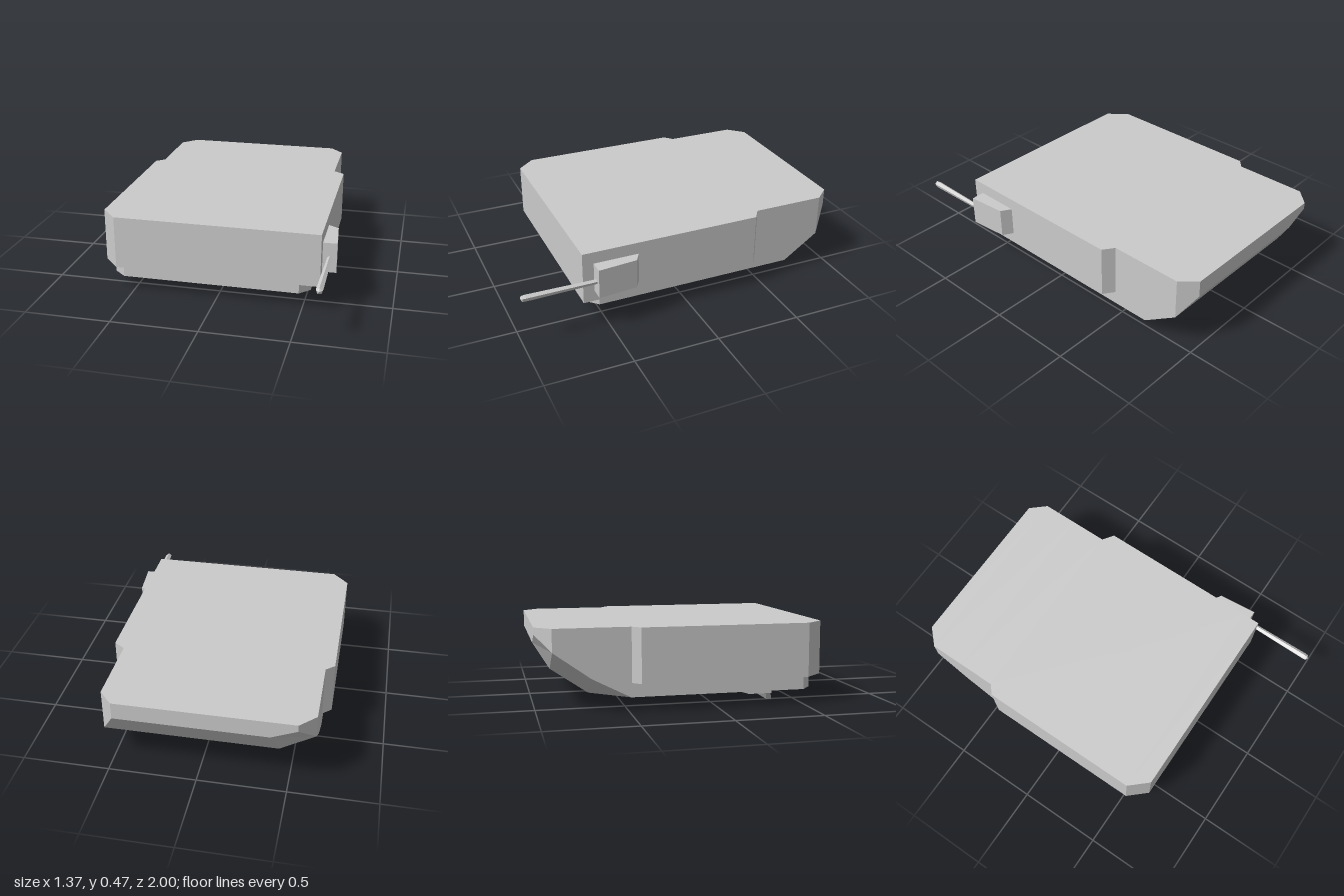
import * as THREE from 'three';

const material = new THREE.MeshStandardMaterial({ color: 0xcccccc, flatShading: true, side: THREE.DoubleSide });

// Closed solid through convex [x, y] rings (counter-clockwise seen from +z), listed from front to back.
function loft(sections) {
  const n = sections[0].ring.length;
  const points = sections.flatMap(({ z, ring }) => ring.map(([x, y]) => [x, y, z]));
  const index = [];
  for (let s = 0; s < sections.length - 1; s++) {
    for (let j = 0; j < n; j++) {
      const a = s * n + j, b = s * n + (j + 1) % n, c = b + n, d = a + n;
      index.push(a, d, c, a, c, b);
    }
  }
  const last = (sections.length - 1) * n;
  for (let j = 1; j < n - 1; j++) {
    index.push(0, j, j + 1, last, last + j + 1, last + j);
  }
  const geometry = new THREE.BufferGeometry();
  geometry.setAttribute('position', new THREE.Float32BufferAttribute(points.flat(), 3));
  geometry.setIndex(index);
  const flat = geometry.toNonIndexed();
  flat.computeVertexNormals();
  return flat;
}

// Section with straight sides; the base may be inset.
const box = (z, x0, x1, y0, y1, inset = 0) => ({
  z, ring: [[x0 + inset, y0], [x1 - inset, y0], [x1, y1], [x0, y1]],
});

// Section whose lower right-hand corner is cut from (cutX, y0) to (x0, cutY).
const cutBox = (z, x0, x1, y0, cutX = x0, cutY = y0) => ({
  z, ring: [[x0, cutY], [cutX, y0], [x1, y0], [x1, 0.47], [x0, 0.47]],
});

export function createModel() {
  const group = new THREE.Group();
  const add = (name, geometry) => {
    const mesh = new THREE.Mesh(geometry, material);
    mesh.name = name;
    group.add(mesh);
    return mesh;
  };

  // Wide upper casing
  add('upperCasing', loft([
    box(0.635, -0.59, 0.6, 0.16, 0.47),
    box(0.53, -0.685, 0.6, 0.16, 0.47),
    box(-0.435, -0.685, 0.6, 0.16, 0.47),
    box(-0.48, -0.635, 0.535, 0.16, 0.47),
  ]));

  // Narrower inner casing with an upswept rear and one cut corner
  add('innerCasing', loft([
    cutBox(0.58, -0.565, 0.475, 0.08),
    cutBox(0.52, -0.635, 0.535, 0.08),
    cutBox(-0.485, -0.635, 0.535, 0.08),
    cutBox(-0.7, -0.635, 0.535, 0.08, -0.44, 0.19),
    cutBox(-0.91, -0.635, 0.535, 0.225, -0.44, 0.34),
    cutBox(-1, -0.545, 0.455, 0.37, -0.4, 0.43),
  ]));

  // Long raised pad underneath
  add('bottomPad', loft([
    box(0.13, 0.225, 0.45, 0.075, 0.085),
    box(0.08, 0.195, 0.475, 0.025, 0.085, 0.03),
    box(-0.55, 0.195, 0.475, 0.025, 0.085, 0.03),
    box(-0.61, 0.225, 0.45, 0.06, 0.085),
  ]));

  // Shallow rim in front of the pad
  const bevelled = (w, d, c, Path) => new Path([
    [-w + c, -d], [w - c, -d], [w, -d + c], [w, d - c],
    [w - c, d], [-w + c, d], [-w, d - c], [-w, -d + c],
  ].map(([x, y]) => new THREE.Vector2(x, y)));
  const rimShape = bevelled(0.13, 0.05, 0.025, THREE.Shape);
  rimShape.holes.push(bevelled(0.11, 0.032, 0.018, THREE.Path));
  const rim = add('bottomRim', new THREE.ExtrudeGeometry(rimShape, { depth: 0.025, bevelEnabled: false }));
  rim.rotation.x = Math.PI / 2;
  rim.position.set(0.325, 0.083, 0.305);

  // Forward-leaning clip: trapezoid lip with a wing at each end
  const lipShape = new THREE.Shape([
    [-0.58, 0.085], [-0.58, 0.055], [-0.51, 0.005], [0.04, 0.005], [0.105, 0.055], [0.105, 0.085],
  ].map(([x, y]) => new THREE.Vector2(x, y)));
  const lip = new THREE.ExtrudeGeometry(lipShape, { depth: 0.03, bevelEnabled: false });
  const p = lip.attributes.position;
  for (let i = 0; i < p.count; i++) {
    p.setZ(i, p.getZ(i) + 0.34 - (p.getY(i) - 0.005) * 0.6);
  }
  lip.computeVertexNormals();
  add('clipLip', lip);
  for (const [x0, x1] of [[-0.58, -0.545], [0.07, 0.105]]) {
    add('clipWing', loft([
      box(0.345, x0, x1, 0.055, 0.085),
      box(0.21, x0, x1, 0.055, 0.085),
      box(0.13, x0, x1, 0.08, 0.085),
    ]));
  }
  // Small catch behind the lip
  add('clipCatch', loft([
    box(0.3, -0.07, -0.055, 0.012, 0.03),
    box(0.26, -0.07, -0.055, 0.035, 0.085),
  ]));

  // Side mount with a five-sided rod
  add('rodMount', loft([
    box(0.57, 0.59, 0.68, 0.225, 0.4),
    box(0.34, 0.59, 0.66, 0.225, 0.4),
    box(0.305, 0.59, 0.6, 0.225, 0.4),
  ]));
  const rod = add('rod', new THREE.LatheGeometry(
    [[0, 0], [0.014, 0], [0.02, 0.43], [0.018, 0.45], [0, 0.46]].map(([r, y]) => new THREE.Vector2(r, y)), 5));
  rod.rotation.x = Math.PI / 2;
  rod.rotation.y = Math.PI;
  rod.rotation.order = 'XYZ';
  rod.position.set(0.64, 0.31, 0.54);

  return group;
}
